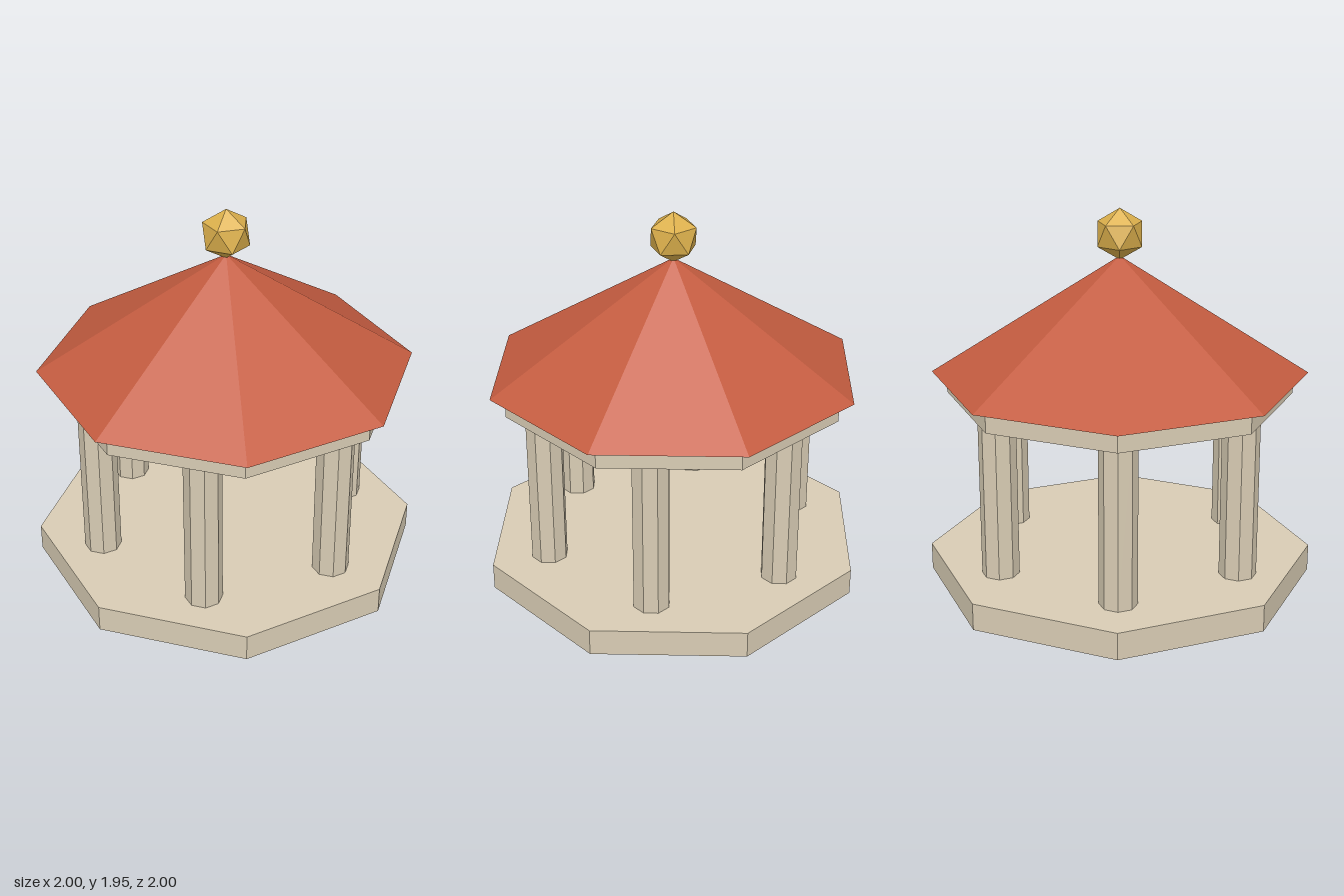
import * as THREE from 'three';

const flat = (name, color) => {
  const material = new THREE.MeshStandardMaterial({ color, flatShading: true });
  material.name = name;
  return material;
};

export function createModel() {
  const group = new THREE.Group();
  group.name = 'pavilion';
  const stone = flat('stone', 0xd8ccb4);
  const tile = flat('roof tile', 0xc45c40);
  const gold = flat('gold', 0xdcb04c);

  const add = (name, geometry, material, x, y, z) => {
    const mesh = new THREE.Mesh(geometry, material);
    mesh.name = name;
    mesh.position.set(x, y, z);
    group.add(mesh);
  };

  // Eight-sided prism standing on y = bottom, with a corner facing +z
  const prism = (name, radius, bottom, top, x = 0, z = 0) => {
    const geometry = new THREE.CylinderGeometry(radius, radius, top - bottom, 8);
    add(name, geometry, stone, x, (bottom + top) / 2, z);
  };

  prism('base', 1, 0, 0.14);
  prism('roofBeam', 0.885, 0.99, 1.1);

  // Ring of six columns
  for (let i = 0; i < 6; i++) {
    const angle = (i * Math.PI) / 3;
    prism('column' + (i + 1), 0.095, 0.14, 0.99, 0.693 * Math.cos(angle), 0.693 * Math.sin(angle));
  }

  // Pyramid roof
  const roofHeight = 0.605;
  add('roof', new THREE.ConeGeometry(0.96, roofHeight, 8), tile, 0, 1.1 + roofHeight / 2, 0);

  // Faceted finial, turned so one corner points straight up
  const finial = new THREE.IcosahedronGeometry(0.13, 0);
  finial.rotateX(-Math.atan((1 + Math.sqrt(5)) / 2));
  finial.rotateY(Math.PI / 2);
  add('finial', finial, gold, 0, 1.815, 0);

  return group;
}
